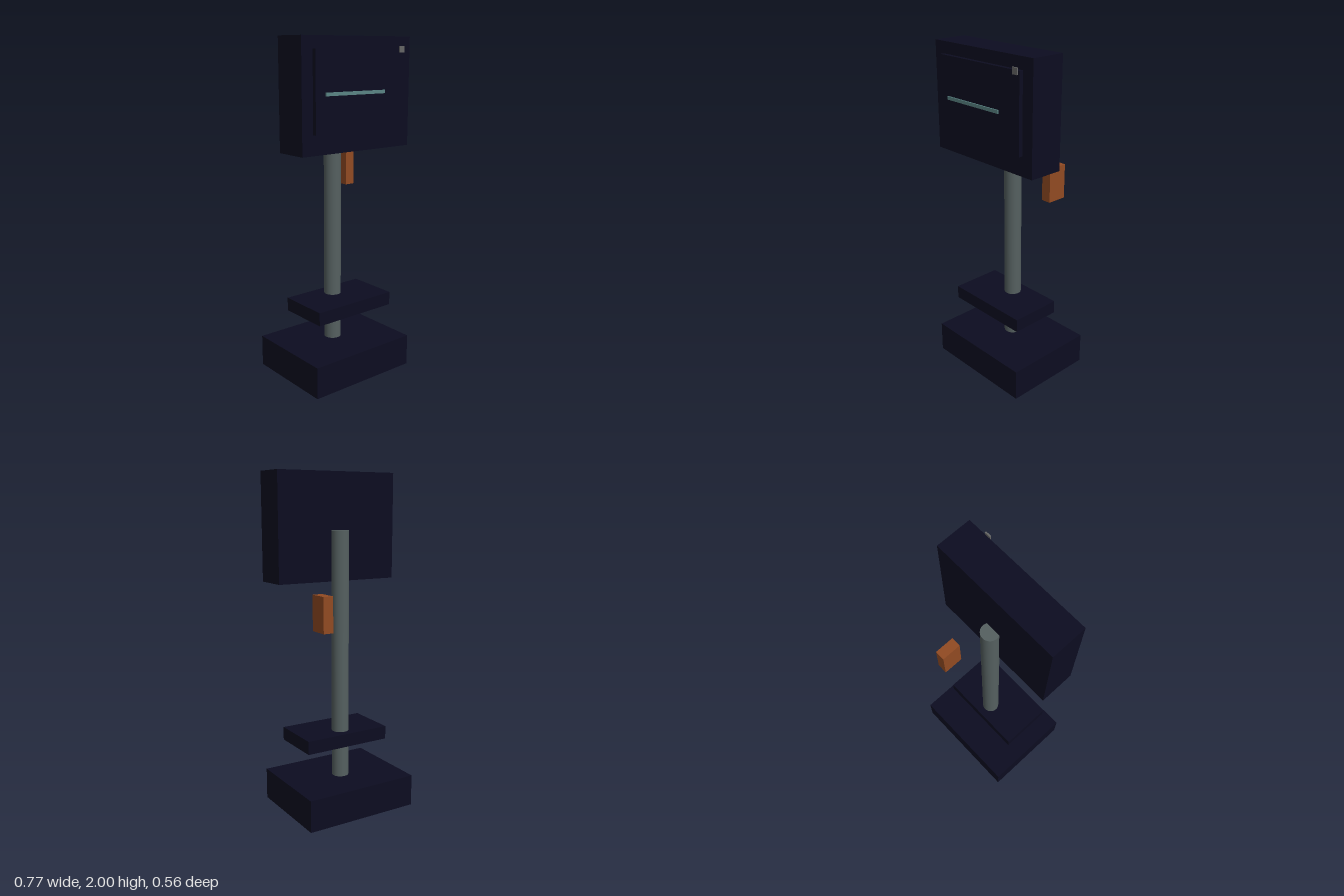
import * as THREE from 'three';

const material = (name, color) => {
  const m = new THREE.MeshStandardMaterial({ color });
  m.name = name;
  return m;
};

export function createModel() {
  const group = new THREE.Group();
  const navy = material('dark navy', 0x0c0c20);
  const steel = material('grey steel', 0x556060);
  const copper = material('copper brown', 0x914a22);
  const teal = material('pale teal', 0x5a8484);
  const grey = material('button grey', 0x666666);

  // Box given by its lower and upper corners
  const box = (name, mat, [x0, y0, z0], [x1, y1, z1]) => {
    const mesh = new THREE.Mesh(new THREE.BoxGeometry(x1 - x0, y1 - y0, z1 - z0), mat);
    mesh.position.set((x0 + x1) / 2, (y0 + y1) / 2, (z0 + z1) / 2);
    mesh.name = name;
    group.add(mesh);
  };

  // Stand
  box('base', navy, [-0.354, 0, -0.282], [0.354, 0.19, 0.282]);
  box('shelf', navy, [-0.272, 0.393, -0.115], [0.272, 0.473, 0.2]);
  const pole = new THREE.Mesh(new THREE.CylinderGeometry(0.051, 0.051, 1.49, 32), steel);
  pole.position.set(0, 0.925, -0.022);
  pole.name = 'pole';
  group.add(pole);

  // Display head with raised screen
  box('displayHead', navy, [-0.386, 1.376, 0], [0.386, 2, 0.207]);
  box('screen', navy, [-0.314, 1.488, 0.2], [0.314, 1.932, 0.231]);
  box('screenLine', teal, [-0.252, 1.69, 0.235], [0.166, 1.709, 0.243]);
  box('indicator', grey, [0.274, 1.912, 0.235], [0.31, 1.948, 0.244]);

  // Side unit hanging behind the head
  box('sideUnit', copper, [0.167, 1.116, -0.218], [0.228, 1.322, -0.097]);

  return group;
}
